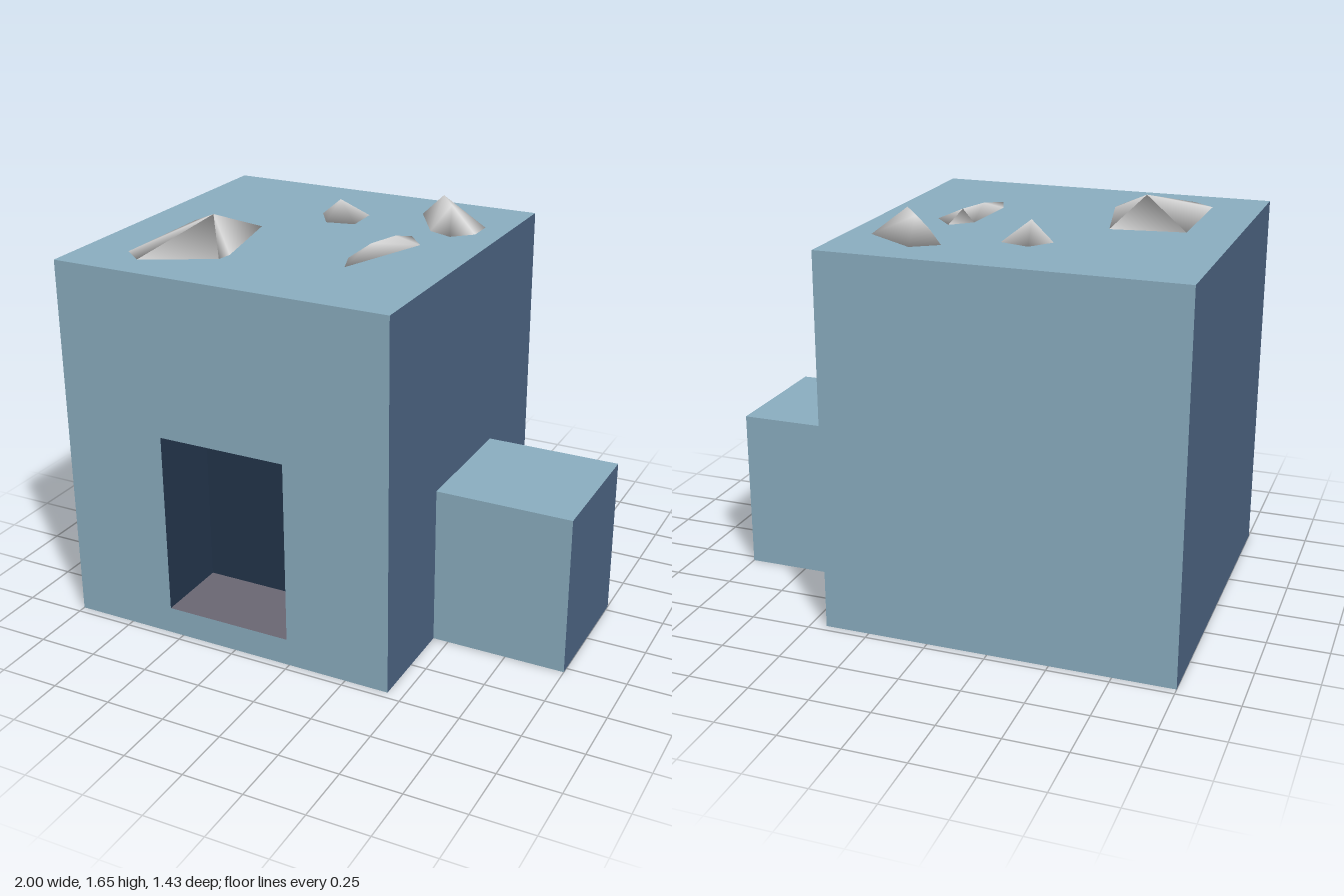
import * as THREE from 'three';
import { mergeVertices } from 'three/addons/utils/BufferGeometryUtils.js';
import { ConvexGeometry } from 'three/addons/geometries/ConvexGeometry.js';

const mat = (name, color) => {
  const m = new THREE.MeshStandardMaterial({ color, side: THREE.DoubleSide });
  m.name = name;
  return m;
};

// Face numbers of a box, in the order of its geometry groups
const RIGHT = 0, LEFT = 1, TOP = 2, BOTTOM = 3, FRONT = 4, BACK = 5;

export function createModel() {
  const lightBlue = mat('light blue', 0x8aadbf);
  const slateBlue = mat('slate blue', 0x4b6280);
  const navy = mat('navy', 0x22344a);
  const floorGrey = mat('floor grey', 0x6a6672);
  const rockGrey = mat('rock grey', 0xd8d8d8);

  const model = new THREE.Group();
  const add = (name, geometry, material) => {
    const mesh = new THREE.Mesh(geometry, material);
    mesh.name = name;
    model.add(mesh);
    return mesh;
  };

  // Box between two corners, leaving out some faces
  const shell = (name, min, max, skip, materials) => {
    const size = max.map((v, i) => v - min[i]);
    const geometry = new THREE.BoxGeometry(...size);
    geometry.translate(...min.map((v, i) => (v + max[i]) / 2));
    const kept = geometry.groups.filter((g) => !skip.includes(g.materialIndex));
    const source = [...geometry.index.array];
    const index = [];
    geometry.clearGroups();
    for (const g of kept) {
      geometry.addGroup(index.length, g.count, g.materialIndex);
      index.push(...source.slice(g.start, g.start + g.count));
    }
    geometry.setIndex(index);
    return add(name, geometry, materials);
  };

  // Hollow block and its small annex, both open underneath
  const walls = [slateBlue, slateBlue, lightBlue, lightBlue, lightBlue, lightBlue];
  shell('mainBlock', [-1, 0, -0.717], [0.435, 1.55, 0.717], [BOTTOM, FRONT], walls);
  shell('annex', [0.435, 0, -0.28], [1, 0.675, 0.28], [BOTTOM, LEFT], walls);

  // Front wall with the doorway cut out
  const rect = (path, x0, y0, x1, y1) =>
    path.moveTo(x0, y0).lineTo(x1, y0).lineTo(x1, y1).lineTo(x0, y1).closePath();
  const front = rect(new THREE.Shape(), -1, 0, 0.435, 1.55);
  front.holes.push(rect(new THREE.Path(), -0.555, 0.115, -0.01, 0.885));
  add('frontWall', new THREE.ShapeGeometry(front), lightBlue).position.z = 0.717;

  // Recess behind the doorway
  shell('doorRecess', [-0.555, 0.115, 0.39], [-0.01, 0.885, 0.717], [FRONT],
    [navy, navy, navy, floorGrey, navy, navy]);

  // Smooth rocks on the roof: a base outline (x, z) and one or two peaks (x, y, z)
  const rocks = [
    {
      name: 'largeRock',
      base: [[-0.8, 0.02], [-0.505, -0.025], [-0.42, 0.37], [-0.43, 0.435], [-0.71, 0.58], [-0.8, 0.505]],
      peaks: [[-0.595, 1.65, 0.2]],
    },
    {
      name: 'tallRock',
      base: [[0.013, -0.49], [0.115, -0.56], [0.33, -0.415], [0.33, -0.305], [0.25, -0.23], [0.147, -0.27]],
      peaks: [[0.12, 1.652, -0.465], [0.21, 1.652, -0.34]],
    },
    {
      name: 'longRock',
      base: [[0.03, -0.095], [0.11, -0.17], [0.19, -0.075], [0.05, 0.31], [0.01, 0.2]],
      peaks: [[0.06, 1.59, 0.1], [0.1, 1.59, -0.035]],
    },
    {
      name: 'smallRock',
      base: [[-0.37, -0.31], [-0.3, -0.405], [-0.18, -0.37], [-0.175, -0.22], [-0.295, -0.195]],
      peaks: [[-0.275, 1.63, -0.29]],
    },
  ];
  for (const { name, base, peaks } of rocks) {
    const points = base.map(([x, z]) => new THREE.Vector3(x, 1.552, z));
    peaks.forEach((p) => points.push(new THREE.Vector3(...p)));
    const hull = new ConvexGeometry(points);
    hull.deleteAttribute('normal');
    const rock = mergeVertices(hull);
    rock.computeVertexNormals();
    add(name, rock, rockGrey);
  }

  return model;
}
